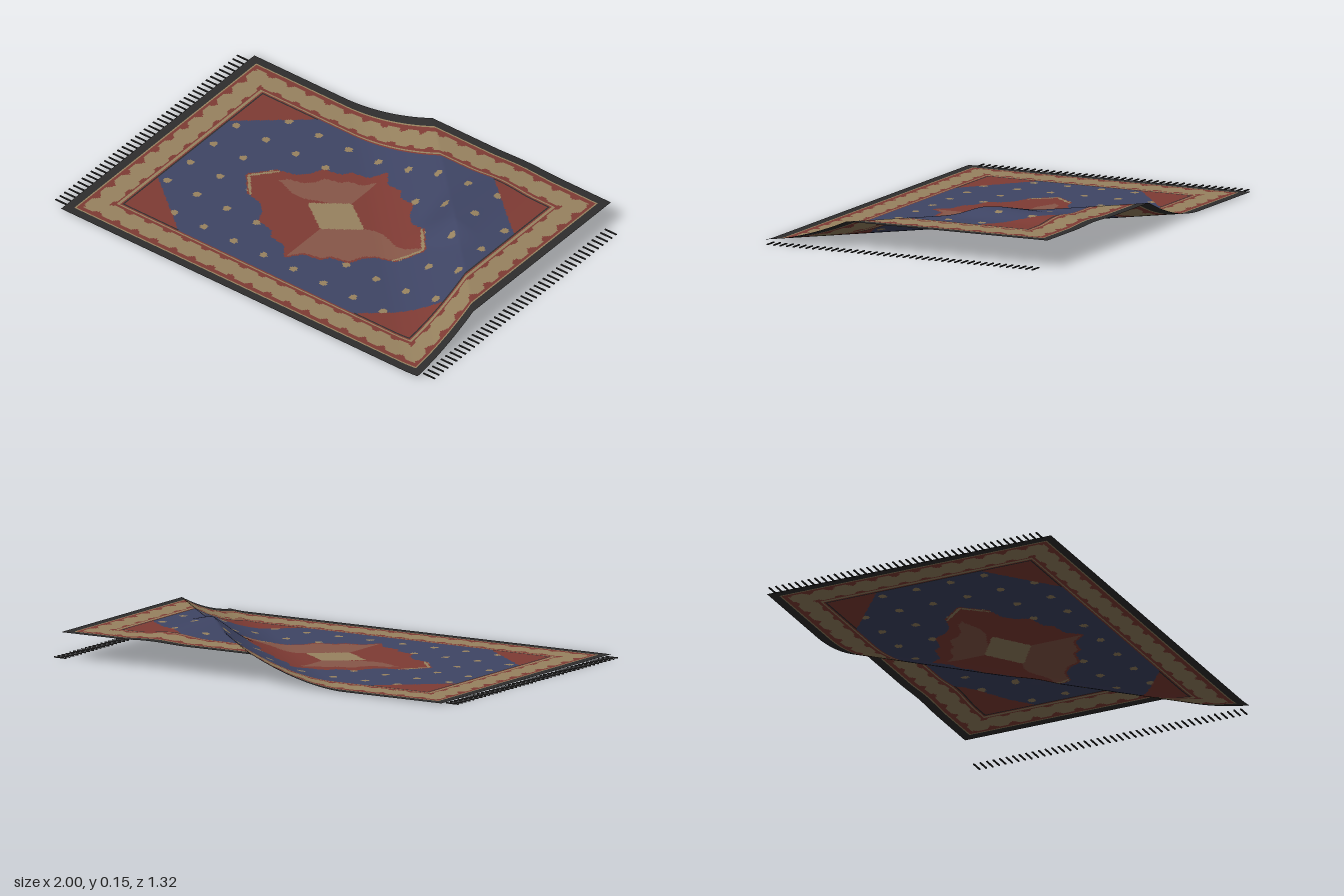
import * as THREE from 'three';

const HX = 0.94, HZ = 0.66; // half size of the rug
const NX = 288, NZ = 204; // weave resolution

const mat = (name, color) => {
  const m = new THREE.MeshStandardMaterial({ color, side: THREE.DoubleSide });
  m.name = name;
  return m;
};

// Height of the cloth: a diagonal lift towards the back left corner, with one soft ripple
function height(x, z) {
  const t = THREE.MathUtils.clamp((x - z - 0.2) / 0.46, 0, 1);
  let y = 0.006 + 0.114 * Math.pow(t, 1.8);
  const across = Math.abs(x - 0.5) / 0.18;
  if (across < 1 && z < 0) {
    const along = z > -0.15
      ? THREE.MathUtils.smoothstep(-z, 0, 0.15)
      : 1 - 0.8 * (-z - 0.15) / 0.51;
    y += 0.028 * along * (0.5 + 0.5 * Math.cos(Math.PI * across));
  }
  return y;
}

// Stepped quarter outline of the central medallion
const OUTLINE = [[0, 0.355], [0.05, 0.29], [0.13, 0.275], [0.155, 0.24], [0.24, 0.22],
  [0.265, 0.16], [0.31, 0.12], [0.39, 0.1], [0.425, 0.06], [0.475, 0]];

function inMedallion(x, z, scale = 1) {
  const ax = Math.abs(x) / scale, az = Math.abs(z) / scale;
  for (let i = 1; i < OUTLINE.length; i++) {
    const [x0, z0] = OUTLINE[i - 1], [x1, z1] = OUTLINE[i];
    if (ax <= x1) return az < z0 + (z1 - z0) * (ax - x0) / (x1 - x0);
  }
  return false;
}

// Which woven part lies at a point
function partAt(x, z) {
  const ax = Math.abs(x), az = Math.abs(z);
  const dx = HX - ax, dz = HZ - az, d = Math.min(dx, dz);

  // Nested border bands with scalloped edges
  if (d < 0.036) return 'binding';
  if (d < 0.18) {
    const u = dx < dz ? z : x;
    const wave = 0.02 * Math.max(0, Math.cos(u * Math.PI * 2 / 0.1));
    if (d < 0.047) return 'borderLine';
    if (d < 0.062 + wave) return 'borderScallop';
    if (d < 0.155 - wave * 0.7) return 'borderBand';
    if (d < 0.166) return 'borderScallop';
    if (d < 0.174) return 'borderLine';
    return 'borderScallop';
  }

  // Corner triangles with a thin dark edge
  const corner = (ax - 0.46) / 0.295 + (az - 0.24) / 0.24 > 1;
  if (d < 0.187 && (corner || dx < dz)) return 'fieldLine';
  if (corner) return 'cornerPanel';

  // Medallion
  if (ax / 0.15 + az / 0.108 < 1) return 'centreDiamond';
  if (inMedallion(x, z)) {
    if (ax > 0.37 && !inMedallion(x, z, 0.95) && inMedallion(x, z, 0.985)) return 'medallionLine';
    const sway = 0.02 * Math.sin(x * 22);
    const shaded = x > 0
      ? z > sway && inMedallion(x, z, 0.96)
      : z < sway - 0.03 && inMedallion(x, z, 0.8);
    return shaded ? 'medallionShade' : 'medallion';
  }

  // Dotted field
  const gap = 0.157;
  const px = x - (Math.floor(x / gap) + 0.5) * gap;
  const pz = z - (Math.floor(z / gap) + 0.5) * gap;
  return Math.hypot(px, pz) < 0.017 ? 'fieldDots' : 'field';
}

export function createModel() {
  const rug = new THREE.Group();
  rug.name = 'rug';

  const black = mat('black wool', 0x2e2d2d);
  const red = mat('dark red wool', 0x7f3b34);
  const tan = mat('tan wool', 0x97825f);
  const navy = mat('navy wool', 0x3f4565);
  const rust = mat('rust wool', 0x875748);
  const partMaterial = {
    binding: black, fieldLine: black,
    borderLine: tan, borderBand: tan, fieldDots: tan, centreDiamond: tan, medallionLine: tan,
    borderScallop: red, cornerPanel: red, medallion: red,
    medallionShade: rust, field: navy,
  };

  // Cloth grid, with its cells sorted into parts
  const positions = [], all = [], cells = {};
  for (let j = 0; j <= NZ; j++) {
    for (let i = 0; i <= NX; i++) {
      const x = -HX + 2 * HX * i / NX, z = -HZ + 2 * HZ * j / NZ;
      positions.push(x, height(x, z), z);
    }
  }
  const row = NX + 1;
  for (let j = 0; j < NZ; j++) {
    for (let i = 0; i < NX; i++) {
      const a = j * row + i;
      const quad = [a, a + row, a + 1, a + 1, a + row, a + row + 1];
      const part = partAt(-HX + 2 * HX * (i + 0.5) / NX, -HZ + 2 * HZ * (j + 0.5) / NZ);
      (cells[part] ??= []).push(...quad);
      all.push(...quad);
    }
  }
  const cloth = new THREE.BufferGeometry();
  cloth.setAttribute('position', new THREE.Float32BufferAttribute(positions, 3));
  cloth.setIndex(all);
  cloth.computeVertexNormals();
  for (const [part, index] of Object.entries(cells)) {
    cloth.setIndex(index);
    const mesh = new THREE.Mesh(cloth.toNonIndexed(), partMaterial[part]);
    mesh.name = part;
    rug.add(mesh);
  }

  // Fringe threads lying flat on the ground at both short ends
  const thread = new THREE.BoxGeometry(0.06, 0.005, 0.006);
  for (const side of [-1, 1]) {
    const fringe = new THREE.Group();
    fringe.name = side > 0 ? 'leftFringe' : 'rightFringe';
    for (let k = 0; k < 42; k++) {
      const strand = new THREE.Mesh(thread, black);
      strand.name = 'fringeThread';
      strand.position.set(side * 0.97, 0.0025, -0.62 + 1.24 * k / 41);
      fringe.add(strand);
    }
    rug.add(fringe);
  }
  return rug;
}
